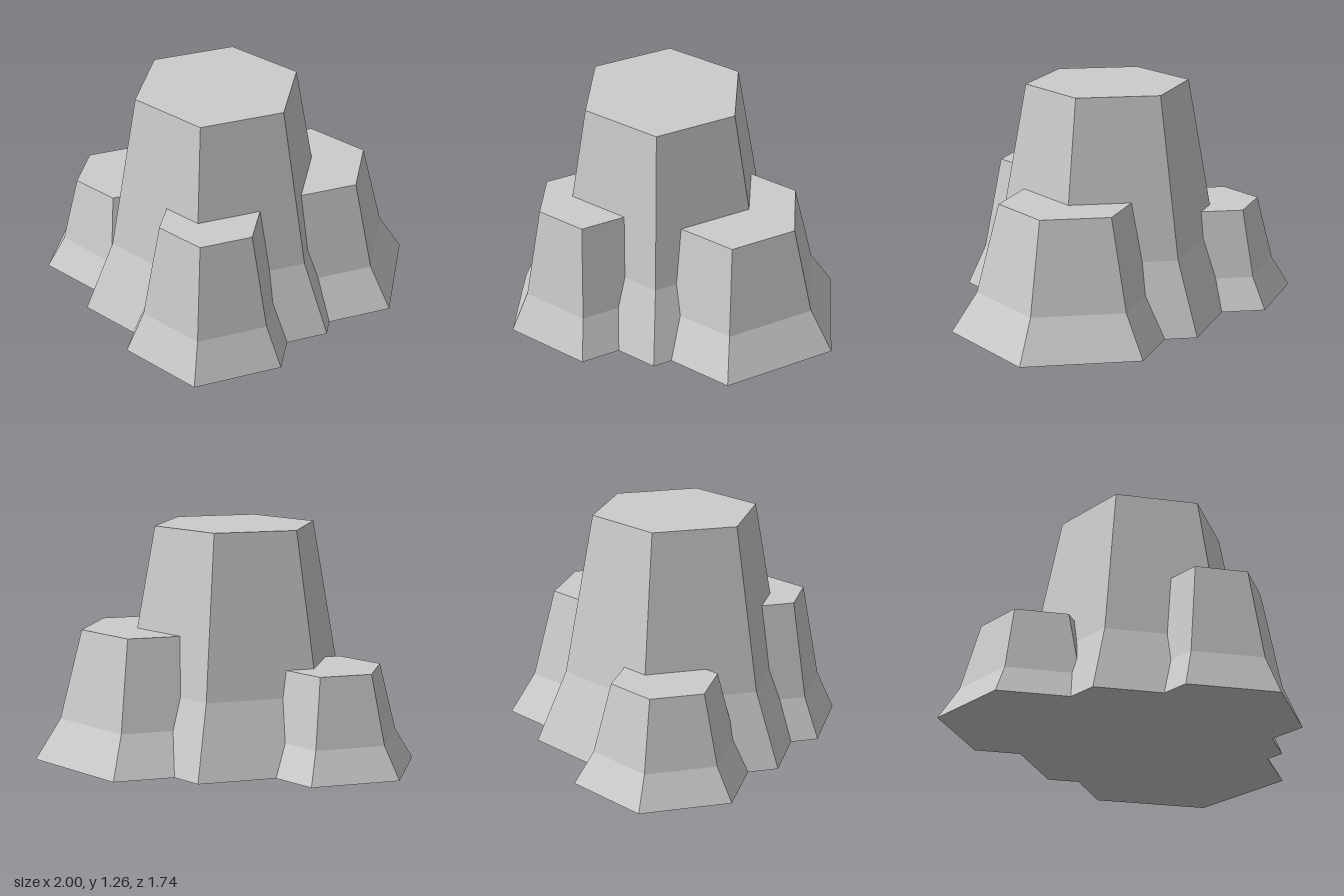
import * as THREE from 'three';

const material = new THREE.MeshStandardMaterial({ color: 0xcccccc, flatShading: true });

// Six-sided closed column with a corner on +x and a flared foot.
// rings: [radius, height] from the ground up
function column(name, x, z, rings) {
  const top = rings[rings.length - 1][1];
  const profile = [[0, 0], ...rings, [0, top]].map(([r, y]) => new THREE.Vector2(r, y));
  const geometry = new THREE.LatheGeometry(profile, 6, Math.PI / 2).toNonIndexed();
  geometry.computeVertexNormals();
  const mesh = new THREE.Mesh(geometry, material);
  mesh.name = name;
  mesh.position.set(x, 0, z);
  return mesh;
}

export function createModel() {
  const group = new THREE.Group();
  group.name = 'hexagonalRock';
  group.add(
    // tall central column
    column('mainColumn', -0.12, 0.01, [[0.775, 0], [0.61, 0.39], [0.45, 1.26]]),
    // broad column on the +x side
    column('sideColumn', 0.363, 0.04, [[0.635, 0], [0.495, 0.22], [0.37, 0.705]]),
    // slim column at the front
    column('frontColumn', -0.312, 0.45, [[0.482, 0], [0.381, 0.22], [0.28, 0.742]]),
    // short column at the back
    column('backColumn', -0.517, -0.456, [[0.482, 0], [0.378, 0.168], [0.282, 0.535]])
  );
  return group;
}
